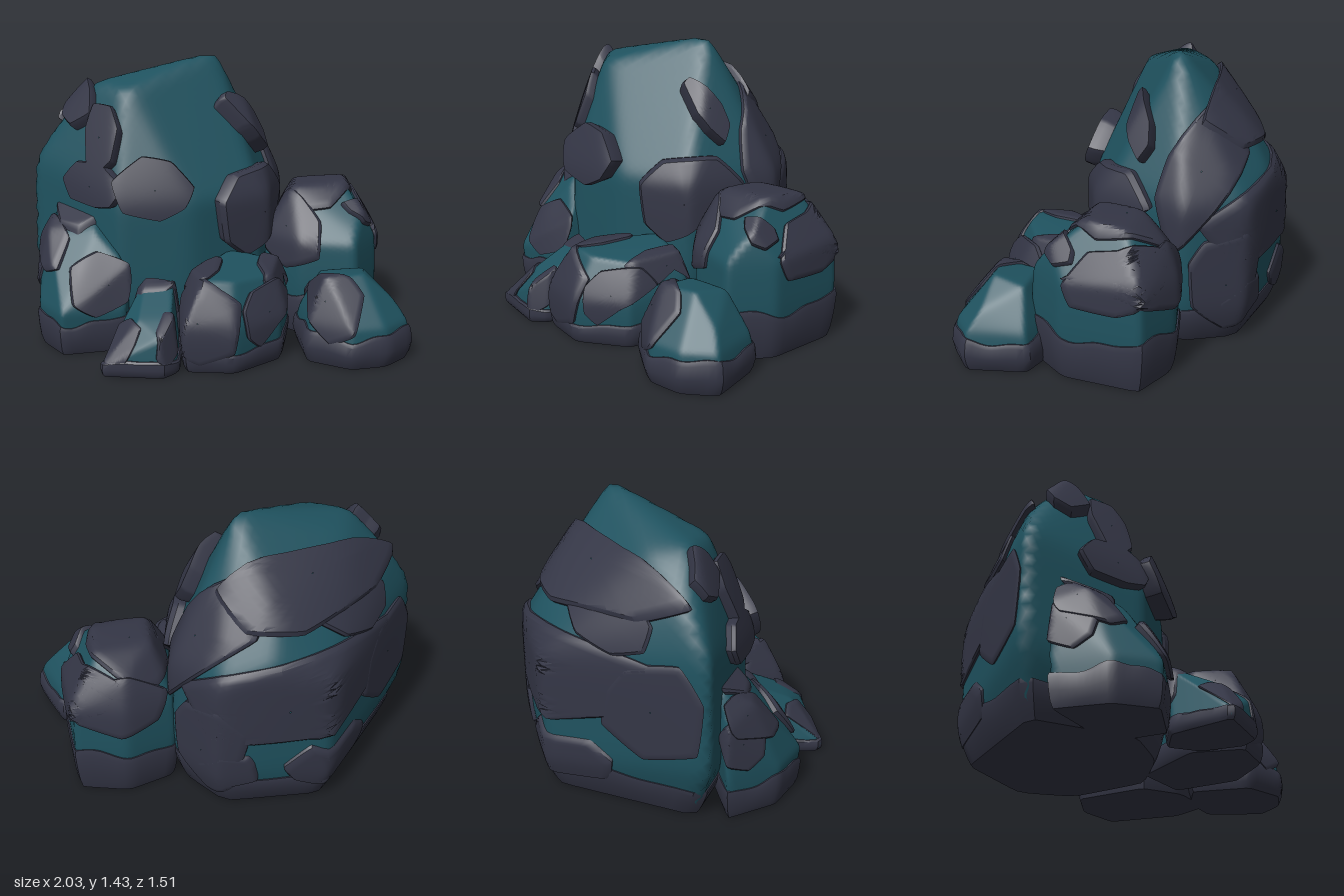
import * as THREE from 'three';
import { mergeVertices, toCreasedNormals } from 'three/addons/utils/BufferGeometryUtils.js';
import { ConvexGeometry } from 'three/addons/geometries/ConvexGeometry.js';

const teal = new THREE.MeshStandardMaterial({ color: 0x1f525f });
const slate = new THREE.MeshStandardMaterial({ color: 0x343646 });
const V = (x = 0, y = 0, z = 0) => new THREE.Vector3(x, y, z);

// Softly rounded convex body: a plan outline scaled at each level, plus crown points
function makeBody(plan, levels, crown) {
  const mx = plan.reduce((s, p) => s + p[0], 0) / plan.length;
  const mz = plan.reduce((s, p) => s + p[1], 0) / plan.length;
  const pts = crown.map(c => V(...c));
  for (const [y, k] of levels)
    for (const [x, z] of plan) pts.push(V(mx + (x - mx) * k, y, mz + (z - mz) * k));
  const centre = new THREE.Box3().setFromPoints(pts).getCenter(V());
  const pos = new ConvexGeometry(pts).attributes.position;
  const planes = [];
  for (let i = 0; i < pos.count; i += 3) {
    const [a, b, c] = [0, 1, 2].map(k => V().fromBufferAttribute(pos, i + k));
    const n = b.sub(a).cross(c.sub(a)).normalize();
    const d = n.dot(a.sub(centre));
    if (d > 1e-4 && !planes.some(q => q.n.dot(n) > 0.995)) planes.push({ n, d });
  }
  const radius = dir => {
    let sum = 0;
    for (const { n, d } of planes) sum += Math.max(0, n.dot(dir) / d) ** 50;
    return sum ** (-1 / 50);
  };
  // Below 1 inside the body, above 1 outside
  const depth = p => {
    const v = p.clone().sub(centre), l = v.length();
    return l < 1e-6 ? 0 : l / radius(v.divideScalar(l));
  };
  // Nearest skin point along the spoke, lifted by t
  const project = (p, t) => {
    const dir = p.clone().sub(centre).normalize();
    return dir.clone().multiplyScalar(radius(dir) + t).add(centre);
  };
  return { centre, depth, project };
}

// Core surface, kept just clear of the ground crust
function coreMesh(body) {
  let g = new THREE.IcosahedronGeometry(1, 18);
  g.deleteAttribute('uv');
  g.deleteAttribute('normal');
  g = mergeVertices(g, 1e-4);
  const p = g.attributes.position;
  for (let i = 0; i < p.count; i++) {
    const q = body.project(V().fromBufferAttribute(p, i).add(body.centre), 0);
    p.setXYZ(i, q.x, Math.max(q.y, 0.015), q.z);
  }
  g.computeVertexNormals();
  return new THREE.Mesh(g, teal);
}

// Skin over closed rows of equal length
function skin(rows) {
  const n = rows[0].length, index = [];
  for (let r = 0; r < rows.length - 1; r++)
    for (let i = 0; i < n; i++) {
      const a = r * n + i, b = r * n + (i + 1) % n;
      index.push(a, a + n, b, b, a + n, b + n);
    }
  const g = new THREE.BufferGeometry().setFromPoints(rows.flat());
  g.setIndex(index);
  return new THREE.Mesh(toCreasedNormals(g, 0.6), slate);
}

// Ray start and direction for an outline drawn on one side
const sides = {
  front: (u, v) => [V(u, v, 1.2), V(0, 0, -1)],
  back: (u, v) => [V(u, v, -1.2), V(0, 0, 1)],
  right: (u, v) => [V(1.2, v, u), V(-1, 0, 0)],
  left: (u, v) => [V(-1.2, v, u), V(1, 0, 0)],
  top: (u, v) => [V(u, 1.6, v), V(0, -1, 0)],
};

// First skin point the ray meets, or the closest one if it passes by
function castOnto(body, [origin, dir]) {
  let best = origin, low = Infinity;
  for (let s = 0; s < 2.4 && low >= 1; s += 0.01) {
    const p = origin.clone().addScaledVector(dir, s), f = body.depth(p);
    if (f < low) { low = f; best = p; }
  }
  return body.project(best, 0);
}

// Crust plate with a chipped outline: centre u v, size w h, thickness t, tilt
function plate(body, [side, u, v, w, h, t, tilt = 0]) {
  const corners = 7;
  const chip = k => Math.abs(Math.sin(k * 12.99 + u * 78.2 + v * 37.7) * 437.5) % 1;
  const hits = Array.from({ length: corners }, (_, k) => {
    const a = (k + 0.5 * chip(k)) / corners * Math.PI * 2, r = 0.46 + 0.15 * chip(k + 20);
    const x = Math.cos(a) * r * w, y = Math.sin(a) * r * h;
    return castOnto(body, sides[side](
      u + x * Math.cos(tilt) - y * Math.sin(tilt), v + x * Math.sin(tilt) + y * Math.cos(tilt)));
  });
  const loop = new THREE.CatmullRomCurve3(hits, true, 'catmullrom', 0.12).getPoints(corners * 6);
  loop.pop();
  const mid = body.project(hits.reduce((s, p) => s.add(p), V()).divideScalar(corners), 0);
  const area = V();
  loop.forEach((p, i) => area.add(p.clone().sub(mid).cross(loop[(i + 1) % loop.length].clone().sub(mid))));
  if (area.dot(mid.clone().sub(body.centre)) < 0) loop.reverse();
  const steps = Array.from({ length: 12 }, (_, i) => [0.01 + i * 0.083, t]);
  const rows = [...steps, [1, t * 0.6], [1.01, -0.03]]
    .map(([s, lift]) => loop.map(p => body.project(mid.clone().lerp(p, s), lift)));
  return skin(rows);
}

// Crust ring round the foot with an uneven upper edge, closed underneath
function foot(body, height, t) {
  const n = 56, phase = body.centre.x * 9;
  const at = (a, y, out) => {
    let lo = 0, hi = 1.5;
    const p = r => V(body.centre.x + Math.cos(a) * r, y, body.centre.z + Math.sin(a) * r);
    for (let k = 0; k < 22; k++) {
      const m = (lo + hi) / 2;
      if (body.depth(p(m)) < 1) lo = m; else hi = m;
    }
    return p(Math.max(0.001, lo + out));
  };
  const rows = [[1, -0.05], [1, t * 0.5], [0.88, t], [0.5, t], [0.2, t * 0.8], [0, 0], [0, -2]]
    .map(([f, out]) => Array.from({ length: n }, (_, i) => {
      const a = -i / n * Math.PI * 2;
      const y = f * height * (1 + 0.1 * Math.sin(3 * a + phase) + 0.05 * Math.sin(7 * a + 2 * phase));
      return at(a, Math.max(0.02, y), out).setY(y);
    }));
  return skin(rows);
}

function boulder(name, footHeight, plan, levels, crown, plates) {
  const group = new THREE.Group();
  group.name = name;
  const body = makeBody(plan, levels, crown);
  const add = (mesh, part) => { mesh.name = part; group.add(mesh); };
  add(coreMesh(body), 'core');
  add(foot(body, footHeight, 0.015), 'footCrust');
  plates.forEach((p, i) => add(plate(body, p), `${p[0]}Crust${i + 1}`));
  return group;
}

export function createModel() {
  const model = new THREE.Group();
  model.name = 'rockCluster';
  model.add(
    boulder('mainBoulder', 0.18,
      [[-0.99, -0.03], [-0.5, -0.72], [0.06, -0.74], [0.28, -0.48], [0.22, 0.02], [-0.12, 0.26], [-0.5, 0.33]],
      [[0, 0.87], [0.2, 0.99], [0.75, 0.97]],
      [[-0.06, 1.46, -0.28], [-0.5, 1.29, 0.12], [-0.68, 1.32, -0.03], [-0.62, 1.28, -0.22], [-0.87, 1.1, -0.12],
        [-1.02, 0.9, -0.03], [-0.25, 1.02, -0.62], [-0.2, 0.83, -0.74]],
      [
        ['front', -0.58, 1.05, 0.19, 0.34, 0.05], ['front', -0.62, 0.82, 0.32, 0.2, 0.05],
        ['front', -0.31, 0.81, 0.33, 0.28, 0.09], ['front', 0.12, 0.66, 0.25, 0.38, 0.06],
        ['front', -0.75, 1.2, 0.2, 0.24, 0.05], ['right', -0.16, 1.06, 0.12, 0.28, 0.08, -0.35],
        ['right', -0.47, 0.92, 0.3, 0.74, 0.03, 0.25], ['right', -0.06, 0.7, 0.3, 0.28, 0.02],
        ['right', -0.62, 0.36, 0.26, 0.55, 0.025], ['back', -0.4, 1.1, 0.85, 0.28, 0.045],
        ['back', -0.3, 0.64, 1, 0.42, 0.025, -0.15], ['back', -0.5, 0.25, 0.45, 0.24, 0.025],
        ['back', 0, 0.25, 0.28, 0.2, 0.025], ['left', -0.26, 0.6, 0.4, 0.5, 0.025],
        ['left', -0.4, 0.98, 0.3, 0.3, 0.03],
      ]),
    boulder('sideBoulder', 0.24,
      [[0.22, -0.04], [0.25, -0.46], [0.5, -0.57], [0.77, -0.52], [0.83, -0.1], [0.72, 0.13], [0.42, 0.11]],
      [[0, 0.92], [0.25, 1], [0.5, 0.96]],
      [[0.37, 0.75, -0.3], [0.38, 0.75, -0.08], [0.65, 0.77, -0.15], [0.64, 0.75, -0.38], [0.5, 0.66, -0.5], [0.74, 0.64, -0.02]],
      [
        ['top', 0.49, -0.24, 0.42, 0.52, 0.02], ['right', -0.33, 0.53, 0.4, 0.26, 0.025, -0.3],
        ['right', -0.08, 0.62, 0.14, 0.12, 0.025], ['front', 0.37, 0.54, 0.34, 0.32, 0.025],
        ['back', 0.54, 0.51, 0.5, 0.27, 0.025],
      ]),
    boulder('frontRightStone', 0.16,
      [[0.4, 0.15], [0.62, 0.04], [0.87, 0.05], [1, 0.34], [0.88, 0.49], [0.7, 0.55], [0.47, 0.46]],
      [[0, 0.92], [0.07, 1], [0.2, 0.92]],
      [[0.53, 0.4, 0.2], [0.56, 0.41, 0.38], [0.75, 0.43, 0.32], [0.75, 0.4, 0.14], [0.91, 0.29, 0.3]],
      [['front', 0.62, 0.28, 0.28, 0.28, 0.02], ['back', 0.56, 0.24, 0.2, 0.2, 0.02]]),
    boulder('frontMiddleStone', 0.11,
      [[-0.18, 0.4], [-0.11, 0.66], [0.14, 0.65], [0.35, 0.44], [0.37, 0.08], [0.05, 0.04]],
      [[0, 0.95], [0.15, 1], [0.24, 0.97]],
      [[-0.1, 0.43, 0.4], [-0.02, 0.44, 0.56], [0.1, 0.44, 0.53], [0.05, 0.46, 0.1], [0.3, 0.44, 0.14], [0.28, 0.42, 0.38]],
      [
        ['front', 0, 0.24, 0.3, 0.36, 0.02], ['front', 0.24, 0.27, 0.17, 0.24, 0.04],
        ['top', 0.27, 0.24, 0.14, 0.32, 0.02], ['top', -0.04, 0.38, 0.16, 0.3, 0.02],
      ]),
    boulder('frontSmallStone', 0.08,
      [[-0.51, 0.745], [-0.2, 0.74], [-0.14, 0.66], [-0.16, 0.45], [-0.28, 0.33], [-0.44, 0.42]],
      [[0, 0.97], [0.05, 1]],
      [[-0.36, 0.36, 0.38], [-0.2, 0.37, 0.4], [-0.18, 0.26, 0.62], [-0.34, 0.25, 0.62], [-0.22, 0.19, 0.72]],
      [['front', -0.4, 0.15, 0.12, 0.2, 0.015, -0.4], ['front', -0.2, 0.17, 0.1, 0.2, 0.015],
        ['top', -0.29, 0.41, 0.22, 0.1, 0.02]]),
    boulder('frontLeftStone', 0.17,
      [[-0.97, 0.08], [-0.91, 0.36], [-0.75, 0.53], [-0.44, 0.42], [-0.45, 0.1]],
      [[0, 0.92], [0.22, 1]],
      [[-0.85, 0.68, 0.06], [-0.65, 0.7, 0.1], [-0.62, 0.58, 0.28], [-0.87, 0.56, 0.24], [-0.46, 0.44, 0.36], [-0.95, 0.5, 0.1]],
      [
        ['front', -0.57, 0.36, 0.3, 0.27, 0.04, -0.2], ['front', -0.86, 0.49, 0.2, 0.2, 0.025],
        ['front', -0.72, 0.64, 0.24, 0.13, 0.035], ['left', 0.18, 0.4, 0.2, 0.24, 0.02],
      ]),
  );
  return model;
}
